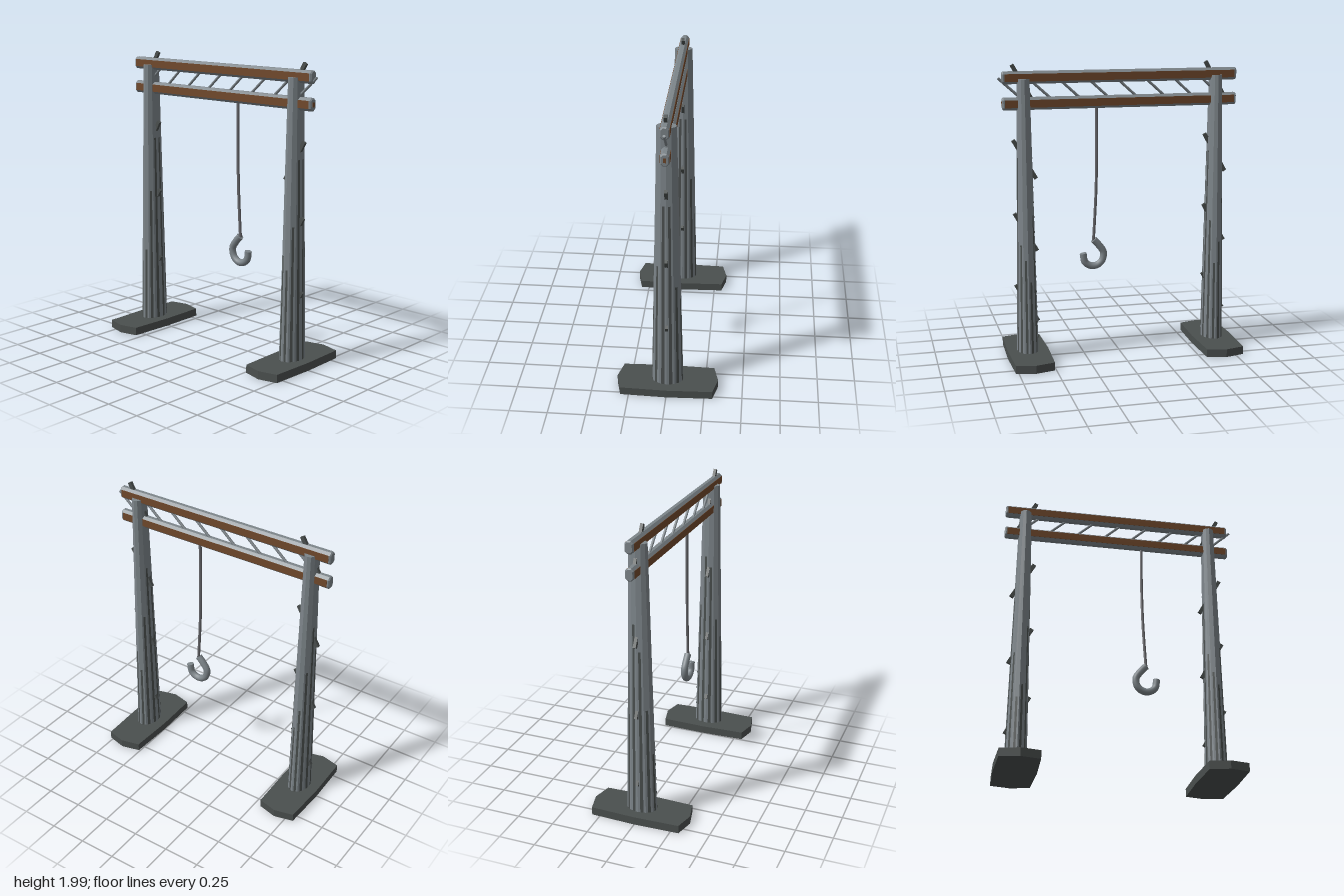
import * as THREE from 'three';
import { toCreasedNormals } from 'three/addons/utils/BufferGeometryUtils.js';

const material = (name, color) => {
  const m = new THREE.MeshStandardMaterial({ color });
  m.name = name;
  return m;
};

export function createModel() {
  const steel = material('steel grey', 0x7d858a);
  const dark = material('dark iron', 0x4a4f4e);
  const rust = material('rust brown', 0x70482b);
  const rope = material('rope grey', 0x66666a);

  const model = new THREE.Group();
  model.name = 'hoistGantry';

  const add = (parent, name, geometry, mat, x = 0, y = 0, z = 0) => {
    const mesh = new THREE.Mesh(geometry, mat);
    mesh.name = name;
    mesh.position.set(x, y, z);
    parent.add(mesh);
    return mesh;
  };
  const flat = (geometry) => toCreasedNormals(geometry, 0.2);

  // Straight bar between two points in the xy plane
  const bar = (parent, name, mat, a, b, geometryFor) => {
    const dx = b[0] - a[0], dy = b[1] - a[1];
    const mesh = add(parent, name, geometryFor(Math.hypot(dx, dy)), mat, (a[0] + b[0]) / 2, (a[1] + b[1]) / 2);
    mesh.rotation.z = Math.atan2(-dx, dy);
    return mesh;
  };

  // Foot outline, pointed at front and back
  const footShape = new THREE.Shape([
    [0.14, 0], [0.13, 0.305], [0, 0.337], [-0.13, 0.305],
    [-0.14, 0], [-0.13, -0.305], [0, -0.337], [0.13, -0.305],
  ].map(([x, y]) => new THREE.Vector2(x, y)));
  const footGeometry = new THREE.ExtrudeGeometry(footShape, { depth: 0.055, bevelEnabled: false });
  footGeometry.rotateX(-Math.PI / 2);

  // Tapered oval post
  const baseY = 0.05, topY = 1.895, rBottom = 0.105, rTop = 0.061, squash = 0.7;
  const radiusAt = (y) => rBottom + (rTop - rBottom) * (y - baseY) / (topY - baseY);
  const postHeight = topY - baseY;
  const postGeometry = flat(new THREE.CylinderGeometry(rTop, rBottom, postHeight, 12).scale(squash, 1, 1));
  const streakHeights = [
    [0.57, 1.0, 1.38, 1.38, 0.9, 0.6, 0.75, 1.05, 1.38, 1.2, 0.8, 0.48],
    [0.67, 0.95, 1.38, 1.38, 0.8, 0.7, 0.55, 1.0, 1.38, 1.3, 0.9, 0.76],
  ];

  [-0.675, 0.64].forEach((x, side) => {
    const tower = new THREE.Group();
    tower.name = side ? 'leftTower' : 'rightTower';
    tower.position.x = x;
    model.add(tower);
    add(tower, 'foot', footGeometry, dark);
    add(tower, 'post', postGeometry, steel, 0, baseY + postHeight / 2);

    // Dark streaks rising up the middle of the facets
    streakHeights[side].forEach((top, i) => {
      const h = top - baseY, width = Math.PI / 15;
      const k = Math.cos(Math.PI / 12) / Math.cos(width / 2);
      const g = new THREE.CylinderGeometry(radiusAt(top) * k + 0.002, rBottom * k + 0.002, h, 1, 1, true,
        (i + 0.5) * Math.PI / 6 - width / 2, width);
      add(tower, 'streak', flat(g.scale(squash, 1, 1)), dark, 0, baseY + h / 2);
    });

    // Slanted climbing pegs driven right through the post
    for (let i = 0; i < 4; i++) {
      const y = 0.255 + i * 0.49;
      bar(tower, 'climbingPeg', dark, [-0.075, y], [0.073, y + 0.26],
        (len) => new THREE.BoxGeometry(0.026, len, 0.02));
    }
  });

  // Beams: chamfered bars with a rusty panel on each side
  const beamShape = new THREE.Shape([
    [0.009, 0.034], [0.021, 0.022], [0.021, -0.022], [0.009, -0.034],
    [-0.009, -0.034], [-0.021, -0.022], [-0.021, 0.022], [-0.009, 0.034],
  ].map(([x, y]) => new THREE.Vector2(x, y)));
  const beamGeometry = new THREE.ExtrudeGeometry(beamShape, {
    depth: 1.58, bevelThickness: 0.0075, bevelSize: 0.007, bevelSegments: 1,
  });
  beamGeometry.translate(0, 0, -0.79).rotateY(Math.PI / 2);
  for (const [name, y] of [['upperBeam', 1.902], ['lowerBeam', 1.733]]) {
    const beam = new THREE.Group();
    beam.name = name;
    beam.position.set(-0.018, y, 0);
    model.add(beam);
    add(beam, 'bar', beamGeometry, steel);
    for (const s of [-1, 1]) {
      add(beam, 'rustPanel', new THREE.BoxGeometry(1.565, 0.05, 0.004), rust, 0, 0, s * 0.028);
    }
  }
  add(model, 'rustSpot', new THREE.BoxGeometry(0.004, 0.03, 0.018), rust, 0.781, 1.733, 0);

  // Slanted braces between the beams
  for (let i = 0; i < 8; i++) {
    const x = 0.645 - i * 0.193;
    bar(model, 'brace', steel, [x, 1.758], [x + 0.158, 1.9],
      (len) => new THREE.CylinderGeometry(0.009, 0.009, len, 8));
  }

  // Hanging rope with a slight bend
  const curve = (points) => new THREE.CatmullRomCurve3(points.map(([x, y]) => new THREE.Vector3(x, y, 0)));
  const ropePath = curve([[0.153, 1.71], [0.152, 1.45], [0.158, 1.15], [0.168, 0.95], [0.178, 0.79]]);
  add(model, 'rope', new THREE.TubeGeometry(ropePath, 20, 0.01, 8), rope);

  // Hook: open tube with closed ends
  const hookPath = curve([[0.176, 0.796], [0.14, 0.757], [0.108, 0.705], [0.118, 0.65],
    [0.155, 0.618], [0.2, 0.617], [0.238, 0.645], [0.25, 0.705]]);
  const hook = new THREE.Group();
  hook.name = 'hook';
  model.add(hook);
  add(hook, 'hookBody', new THREE.TubeGeometry(hookPath, 40, 0.024, 12), steel);
  for (const t of [0, 1]) {
    const p = hookPath.getPointAt(t), dir = hookPath.getTangentAt(t).multiplyScalar(t ? 1 : -1);
    const cap = add(hook, 'hookEnd', new THREE.CircleGeometry(0.024, 12), steel, p.x, p.y, p.z);
    cap.quaternion.setFromUnitVectors(new THREE.Vector3(0, 0, 1), dir);
  }

  return model;
}
